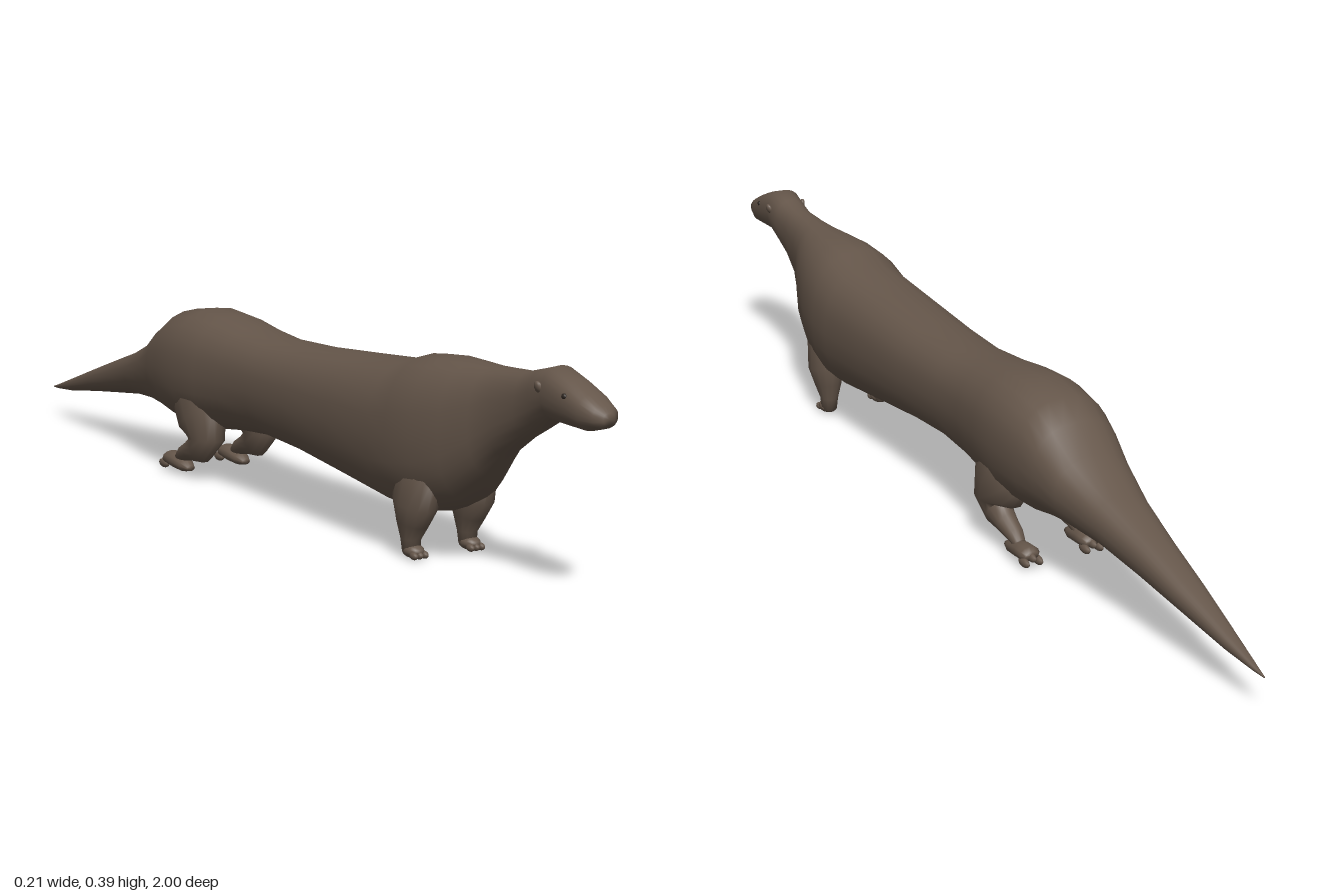
import * as THREE from 'three';

const fur = new THREE.MeshStandardMaterial({ color: 0x65564a });
fur.name = 'brown fur';
const dark = new THREE.MeshStandardMaterial({ color: 0x2e2722 });
dark.name = 'dark eye';

const X = new THREE.Vector3(1, 0, 0);

// Skin over rings [x, y, z, halfWidth, halfHeight]; power squares off the rings
function loft(rings, { seg = 20, power = 2, upright = false } = {}) {
  const pos = [], idx = [], n = rings.length;
  const centre = (r) => new THREE.Vector3(r[0], r[1], r[2]);
  const round = (c) => Math.sign(c) * Math.abs(c) ** (2 / power);
  rings.forEach((r, i) => {
    const t = centre(rings[Math.min(i + 1, n - 1)]).sub(centre(rings[Math.max(i - 1, 0)]));
    t.x = 0;
    if (upright) t.set(0, 0, -1);
    const v = X.clone().cross(t.normalize());
    for (let j = 0; j < seg; j++) {
      const a = (j / seg) * Math.PI * 2;
      const p = centre(r).addScaledVector(X, round(Math.cos(a)) * r[3])
        .addScaledVector(v, round(Math.sin(a)) * r[4]);
      pos.push(p.x, p.y, p.z);
    }
  });
  pos.push(...rings[0].slice(0, 3), ...rings[n - 1].slice(0, 3));
  const first = n * seg, last = first + 1;
  for (let j = 0; j < seg; j++) {
    const k = (j + 1) % seg;
    for (let i = 0; i < n - 1; i++) {
      const a = i * seg + j, b = i * seg + k;
      idx.push(a, a + seg, b, b, a + seg, b + seg);
    }
    idx.push(first, j, k, last, (n - 1) * seg + k, (n - 1) * seg + j);
  }
  const g = new THREE.BufferGeometry();
  g.setAttribute('position', new THREE.Float32BufferAttribute(pos, 3));
  g.setIndex(idx);
  g.computeVertexNormals();
  return g;
}

function add(parent, name, geometry, material = fur) {
  const m = new THREE.Mesh(geometry, material);
  m.name = name;
  parent.add(m);
  return m;
}

function ball(parent, name, p, s, material = fur) {
  const m = add(parent, name, new THREE.SphereGeometry(1, 12, 8), material);
  m.position.set(...p);
  m.scale.set(...s);
  return m;
}

export function createModel() {
  const model = new THREE.Group();
  model.name = 'otter';

  // Head, trunk and tail: z, half width, bottom, top
  const head = [
    [1.0, 0.012, 0.308, 0.327], [0.99, 0.026, 0.3, 0.338], [0.96, 0.035, 0.292, 0.353],
    [0.92, 0.037, 0.293, 0.37], [0.87, 0.04, 0.295, 0.386], [0.83, 0.038, 0.272, 0.375],
    [0.79, 0.037, 0.25, 0.365],
  ];
  const trunk = [
    [0.73, 0.045, 0.21, 0.362], [0.69, 0.058, 0.17, 0.36], [0.635, 0.08, 0.115, 0.36],
    [0.57, 0.097, 0.085, 0.36], [0.505, 0.105, 0.075, 0.354], [0.45, 0.104, 0.078, 0.336],
    [0.3, 0.099, 0.096, 0.325], [0.14, 0.093, 0.114, 0.314], [0, 0.089, 0.122, 0.311],
    [-0.1, 0.092, 0.115, 0.321], [-0.18, 0.101, 0.105, 0.332], [-0.26, 0.106, 0.1, 0.337],
    [-0.34, 0.1, 0.105, 0.325], [-0.39, 0.092, 0.115, 0.296], [-0.45, 0.08, 0.122, 0.252],
  ];
  const tail = [
    [-0.55, 0.058, 0.118, 0.212], [-0.66, 0.043, 0.104, 0.177], [-0.77, 0.032, 0.09, 0.141],
    [-0.9, 0.016, 0.071, 0.098], [-0.97, 0.006, 0.065, 0.075], [-1.0, 0.001, 0.064, 0.066],
  ];
  const rings = [...head, ...trunk, ...tail]
    .map(([z, w, lo, hi]) => [0, (lo + hi) / 2, z, w, (hi - lo) / 2]);
  add(model, 'body', loft(rings, { seg: 24, power: 2.35, upright: true }));

  for (const s of [1, -1]) {
    const side = s > 0 ? 'left' : 'right';

    // Front leg and paw
    const front = new THREE.Group();
    front.name = side + 'FrontLeg';
    model.add(front);
    add(front, 'leg', loft([
      [s * 0.058, 0.17, 0.55, 0.03, 0.06], [s * 0.06, 0.1, 0.54, 0.034, 0.052],
      [s * 0.06, 0.065, 0.532, 0.026, 0.036], [s * 0.06, 0.035, 0.528, 0.018, 0.02],
      [s * 0.06, 0.012, 0.53, 0.016, 0.018],
    ], { seg: 14 }));
    ball(front, 'paw', [s * 0.06, 0.014, 0.536], [0.018, 0.013, 0.024]);
    for (const d of [-1, 0, 1]) {
      ball(front, 'toe', [s * 0.06 + d * 0.011, 0.009, 0.554], [0.006, 0.007, 0.011]);
    }

    // Hind leg: thigh, knee, folded shin
    const hind = new THREE.Group();
    hind.name = side + 'HindLeg';
    model.add(hind);
    add(hind, 'leg', loft([
      [s * 0.055, 0.19, -0.25, 0.04, 0.08], [s * 0.06, 0.13, -0.215, 0.04, 0.072],
      [s * 0.062, 0.09, -0.195, 0.033, 0.05], [s * 0.063, 0.068, -0.215, 0.026, 0.033],
      [s * 0.064, 0.056, -0.25, 0.021, 0.021], [s * 0.064, 0.045, -0.28, 0.017, 0.016],
      [s * 0.064, 0.034, -0.298, 0.012, 0.011],
    ], { seg: 14 }));
    // Hind foot with spread toes
    add(hind, 'foot', loft([
      [s * 0.064, 0.018, -0.255, 0.009, 0.006], [s * 0.064, 0.021, -0.275, 0.017, 0.013],
      [s * 0.064, 0.026, -0.31, 0.02, 0.016], [s * 0.064, 0.028, -0.335, 0.021, 0.014],
      [s * 0.064, 0.028, -0.345, 0.014, 0.008],
    ], { seg: 12 }));
    for (const d of [-1, 0, 1]) {
      ball(hind, 'toe', [s * 0.064 + d * 0.014, 0.024 - Math.abs(d) * 0.008, -0.34], [0.007, 0.009, 0.018]);
    }

    // Ear and eye
    const ear = ball(model, side + 'Ear', [s * 0.038, 0.352, 0.862], [0.006, 0.011, 0.009]);
    ear.rotation.z = -s * 0.35;
    ball(model, side + 'Eye', [s * 0.033, 0.346, 0.925], [0.0045, 0.005, 0.006], dark);
  }

  // Nose
  ball(model, 'nose', [0, 0.322, 0.993], [0.011, 0.007, 0.007], dark);
  return model;
}
